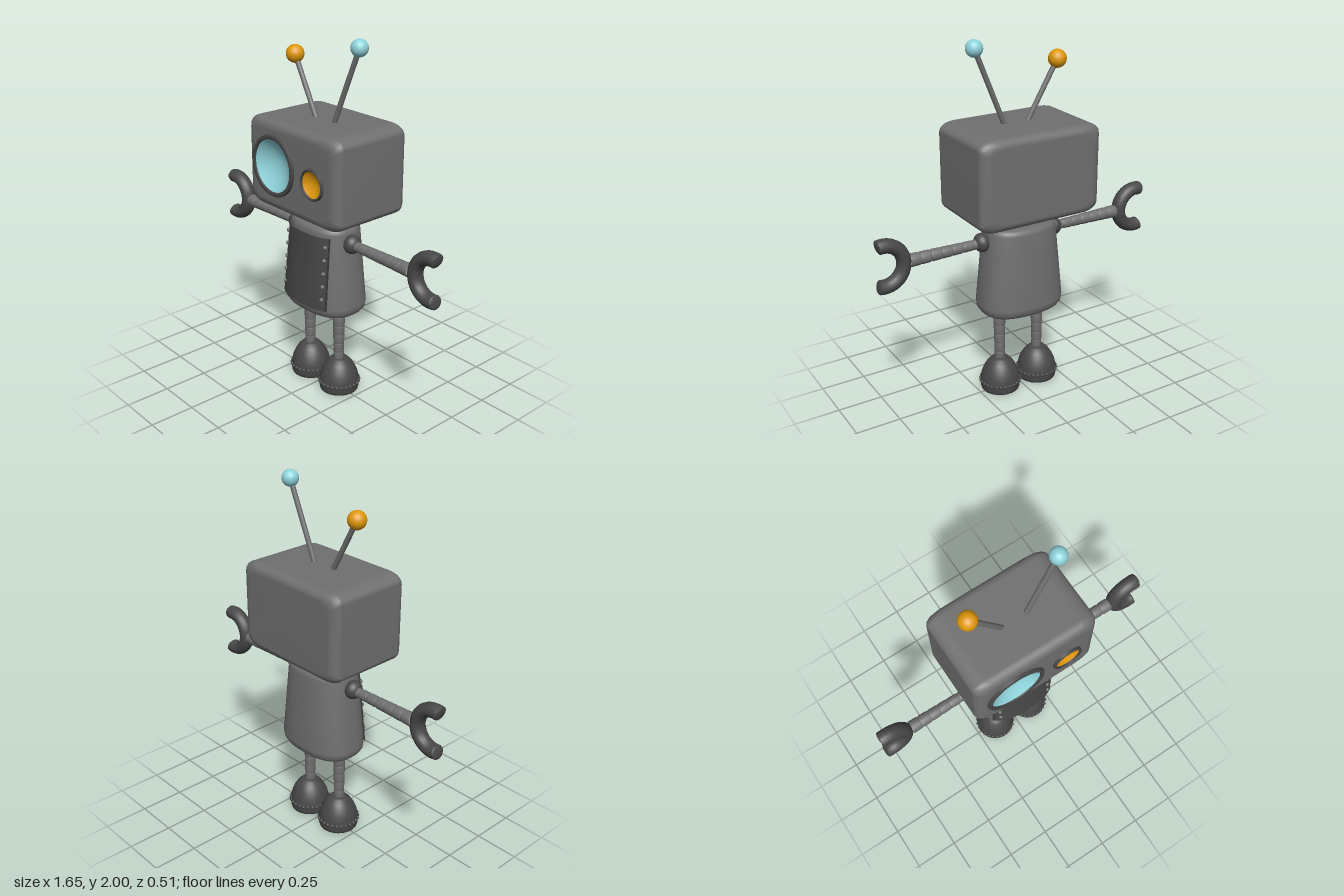
import * as THREE from 'three';
import { mergeGeometries, mergeVertices } from 'three/addons/utils/BufferGeometryUtils.js';

const paint = (color) => new THREE.MeshStandardMaterial({ color, roughness: 0.7 });
const V2 = (x, y) => new THREE.Vector2(x, y);
const V3 = (x, y, z) => new THREE.Vector3(x, y, z);
const lerp = THREE.MathUtils.lerp;

function add(parent, name, geometry, material, x = 0, y = 0, z = 0) {
  const mesh = new THREE.Mesh(geometry, material);
  mesh.name = name;
  mesh.position.set(x, y, z);
  parent.add(mesh);
  return mesh;
}

// Skin over closed cross-sections, which run counter-clockwise about the loft axis
function loft(rings) {
  const n = rings[0].length, index = [];
  for (let i = 0; i < rings.length - 1; i++) {
    for (let j = 0; j < n; j++) {
      const k = (j + 1) % n, a = i * n + j, b = i * n + k;
      index.push(a, b, a + n, b, b + n, a + n);
    }
  }
  const g = new THREE.BufferGeometry().setFromPoints(rings.flat());
  g.setIndex(index);
  return smooth(g);
}

function smooth(g) {
  g.deleteAttribute('uv');
  g.deleteAttribute('normal');
  g = mergeVertices(g, 1e-4);
  g.computeVertexNormals();
  return g;
}

// A ring collapsed to its centre, which closes an end
function cap(ring) {
  const c = ring.reduce((s, p) => s.add(p), V3(0, 0, 0)).divideScalar(ring.length);
  return ring.map(() => c.clone());
}

const lathe = (pts, seg = 32) => new THREE.LatheGeometry(pts.map(([r, y]) => V2(r, y)), seg);

// Segmented tube standing on y = 0
function limb(length, r0, r1, count) {
  const pts = [];
  for (let i = 0; i < count; i++) {
    for (const [t, s] of [[0.02, 0.9], [0.14, 1], [0.86, 1], [0.98, 0.9]]) {
      const f = (i + t) / count;
      pts.push([lerp(r0, r1, f) * s, f * length]);
    }
  }
  return lathe(pts, 20);
}

// Torso cross-section: a squarish ellipse that widens downwards
const POWER = 2.5, TORSO_Z = -0.004;
const halfWidth = (y) => lerp(0.245, 0.2, (y - 0.53) / 0.47);
const halfDepth = (y) => lerp(0.176, 0.145, (y - 0.53) / 0.47);
const bulge = (v) => Math.sign(v) * Math.abs(v) ** (2 / POWER);
const torsoPoint = (angle, y, grow = 0) => V3(
  (halfWidth(y) + grow) * bulge(Math.sin(angle)), y,
  TORSO_Z + (halfDepth(y) + grow) * bulge(Math.cos(angle)));
const angleAt = (x, y) => Math.sign(x) * Math.asin((Math.abs(x) / halfWidth(y)) ** (POWER / 2));

function buildTorso() {
  const levels = [[0.485, -0.07], [0.489, -0.045], [0.5, -0.022], [0.52, -0.007], [0.55, 0],
    [0.7, 0], [0.85, 0], [0.97, 0], [0.988, -0.006], [0.997, -0.016], [1.0, -0.03]];
  const rings = levels.map(([y, grow]) =>
    Array.from({ length: 64 }, (_, j) => torsoPoint(j / 64 * Math.PI * 2, y, grow)));
  return loft([cap(rings[0]), ...rings, cap(rings.at(-1))]);
}

function buildPanel() {
  const rings = [];
  for (let i = 0; i <= 8; i++) {
    const y = lerp(0.545, 0.955, i / 8);
    const a = angleAt(lerp(-0.202, -0.177, i / 8), y), b = angleAt(lerp(0.172, 0.162, i / 8), y);
    rings.push(Array.from({ length: 25 }, (_, j) => torsoPoint(lerp(a, b, j / 24), y, 0.007)));
  }
  const g = loft(rings);
  return mergeGeometries([g, loft([cap(rings[0]), rings[0]]), loft([rings.at(-1), cap(rings.at(-1))])]);
}

const EYES = [
  { name: 'rightEye', x: -0.132, y: 1.312, r: 0.167, lens: 0.143, depth: 0.06 },
  { name: 'leftEye', x: 0.178, y: 1.292, r: 0.084, lens: 0.071, depth: 0.03 },
];
const HEAD = { x: 0.002, y: 1.306, w: 0.357, h: 0.244, front: 0.237, back: -0.253 };

// Rounded box whose front has round openings for the eye sockets
function buildHead() {
  const ring = (z, ix, iy) => {
    const w = HEAD.w - ix, h = HEAD.h - iy, rx = 0.085, ry = 0.05, pts = [];
    [[1, 1], [-1, 1], [-1, -1], [1, -1]].forEach(([sx, sy], q) => {
      for (let k = 0; k <= 6; k++) {
        const a = (q + k / 6) * Math.PI / 2;
        pts.push(V3(HEAD.x + sx * (w - rx) + rx * Math.cos(a), HEAD.y + sy * (h - ry) + ry * Math.sin(a), z));
      }
    });
    return pts;
  };
  const rings = [], edge = 0.05;
  for (let k = 0; k <= 5; k++) {
    const a = k / 5 * Math.PI / 2, s = 1 - Math.sin(a);
    rings.push(ring(HEAD.back + edge * (1 - Math.cos(a)), 0.06 * s, 0.045 * s));
  }
  for (let k = 5; k >= 0; k--) {
    const a = k / 5 * Math.PI / 2, s = 1 - Math.sin(a);
    rings.push(ring(HEAD.front - edge * (1 - Math.cos(a)), 0.06 * s, 0.045 * s));
  }
  const face = new THREE.Shape(rings.at(-1).map((p) => V2(p.x, p.y)));
  for (const e of EYES) face.holes.push(new THREE.Path().absarc(e.x, e.y, e.lens + 0.006, 0, Math.PI * 2, true));
  const plate = new THREE.ShapeGeometry(face, 24).translate(0, 0, HEAD.front);
  plate.deleteAttribute('uv');
  plate.deleteAttribute('normal');
  const shell = loft([cap(rings[0]), ...rings]);
  shell.deleteAttribute('normal');
  return smooth(mergeGeometries([shell, plate]));
}

export function createModel() {
  const model = new THREE.Group();
  model.name = 'robot';
  const grey = paint(0x707070), dark = paint(0x484848), cyan = paint(0x8fd3db), amber = paint(0xdf980c);

  // Head, eyes and antennae
  add(model, 'head', buildHead(), grey);
  EYES.forEach((e, i) => {
    const eye = new THREE.Group();
    eye.name = e.name;
    eye.position.set(e.x, e.y, HEAD.front);
    model.add(eye);
    const rim = lathe([[e.r, -0.02], [e.r, 0.01], [e.r - 0.005, 0.016], [e.lens + 0.004, 0.016],
      [e.lens, 0.011], [e.lens, -0.01]], 48);
    add(eye, 'eyeRim', rim.rotateX(Math.PI / 2), dark);
    const bowl = [];
    for (let k = 0; k <= 10; k++) {
      const t = 1 - k / 10;
      bowl.push([(e.lens + 0.002) * t, 0.008 - e.depth * (1 - t * t)]);
    }
    add(eye, 'eyeLens', lathe(bowl, 48).rotateX(Math.PI / 2), i ? amber : cyan);
  });
  for (const [name, x0, x1, y1, r, mat] of [
    ['leftAntenna', 0.075, 0.253, 1.955, 0.045, cyan], ['rightAntenna', -0.053, -0.235, 1.85, 0.049, amber]]) {
    const path = new THREE.LineCurve3(V3(x0, 1.53, 0.008), V3(x1, y1, 0));
    add(model, name, new THREE.TubeGeometry(path, 1, 0.014, 12), grey);
    add(model, name + 'Ball', new THREE.SphereGeometry(r, 24, 16), mat, x1, y1, 0);
  }

  // Torso with riveted front panel
  add(model, 'torso', buildTorso(), grey);
  add(model, 'frontPanel', buildPanel(), dark);
  const rivet = new THREE.SphereGeometry(0.012, 10, 8);
  for (const x of [-0.162, 0.142]) {
    for (let i = 0; i < 5; i++) {
      const y = 0.61 + i * 0.074;
      add(model, 'rivet', rivet, grey, ...torsoPoint(angleAt(x, y), y, 0.007).toArray());
    }
  }

  // Arms point along +x and turn half round for the other side
  for (const side of ['left', 'right']) {
    const arm = new THREE.Group();
    arm.name = side + 'Arm';
    arm.position.set(0, 0.915, 0.005);
    if (side === 'right') arm.rotation.y = Math.PI;
    model.add(arm);
    add(arm, 'shoulder', new THREE.SphereGeometry(0.052, 24, 16), dark, 0.226, 0.003).scale.x = 0.85;
    add(arm, 'armTube', limb(0.43, 0.026, 0.036, 7).rotateZ(-Math.PI / 2), grey, 0.22);

    // Open claw with rounded tips
    const start = THREE.MathUtils.degToRad(78), ring = 0.112, tube = 0.038;
    const claw = new THREE.TorusGeometry(ring, tube, 16, 36, Math.PI * 2 - 2 * start).rotateZ(start);
    const tips = [start, -start].map((a) => new THREE.SphereGeometry(tube, 16, 12)
      .scale(1, 0.3, 1).rotateZ(a).translate(ring * Math.cos(a), ring * Math.sin(a), 0));
    add(arm, 'claw', mergeGeometries([claw, ...tips]), dark, 0.79).scale.z = 1.12;
  }

  // Legs and domed feet with a studded band
  const footProfile = [[0, 0], [0.098, 0], [0.107, 0.006], [0.111, 0.02], [0.112, 0.05], [0.11, 0.075],
    [0.103, 0.105], [0.089, 0.138], [0.07, 0.168], [0.05, 0.188], [0.035, 0.194], [0, 0.195]];
  const stud = new THREE.SphereGeometry(0.011, 8, 6);
  for (const [side, x] of [['left', 0.122], ['right', -0.122]]) {
    const leg = new THREE.Group();
    leg.name = side + 'Leg';
    leg.position.x = x;
    model.add(leg);
    add(leg, 'legTube', limb(0.33, 0.028, 0.035, 6), grey, 0, 0.18, 0.004);
    add(leg, 'foot', lathe(footProfile, 40), dark);
    for (let i = 0; i < 26; i++) {
      const a = i / 26 * Math.PI * 2;
      add(leg, 'footStud', stud, dark, 0.11 * Math.sin(a), 0.055, 0.11 * Math.cos(a));
    }
  }
  return model;
}
